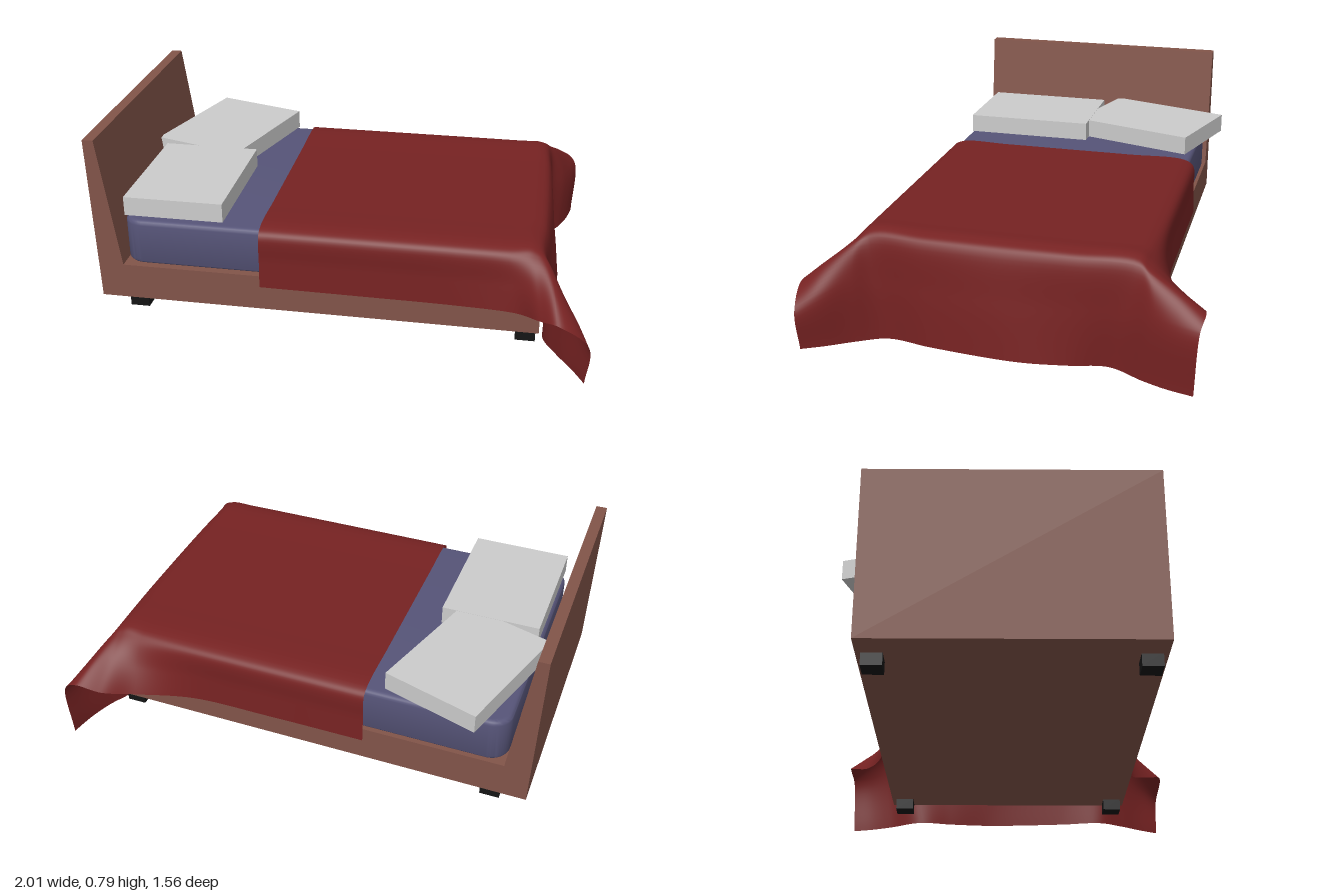
import * as THREE from 'three';
import { toCreasedNormals } from 'three/addons/utils/BufferGeometryUtils.js';

const V = (p) => new THREE.Vector3(...p);
const mat = (color, opts = {}) => new THREE.MeshStandardMaterial({ color, ...opts });

function add(group, name, geometry, material, pos = [0, 0, 0]) {
  const mesh = new THREE.Mesh(geometry, material);
  mesh.name = name;
  mesh.position.set(...pos);
  group.add(mesh);
  return mesh;
}

// Side profile of base and sloping headboard, extruded across the width
function frameGeometry() {
  const profile = [[-0.98, 0.1], [0.815, 0.1], [0.815, 0.25], [-0.88, 0.25], [-0.955, 0.795], [-1, 0.795]];
  const shape = new THREE.Shape(profile.map((p) => new THREE.Vector2(...p)));
  return new THREE.ExtrudeGeometry(shape, { depth: 1.12, bevelEnabled: false }).translate(0, 0, -0.55);
}

// Rounded rectangle in plan with soft top and bottom edges
function mattressGeometry(w, h, d, r, b) {
  const x = w / 2 - b, y = d / 2 - b, s = new THREE.Shape();
  s.absarc(x - r, y - r, r, 0, Math.PI / 2);
  s.absarc(r - x, y - r, r, Math.PI / 2, Math.PI);
  s.absarc(r - x, r - y, r, Math.PI, Math.PI * 1.5);
  s.absarc(x - r, r - y, r, Math.PI * 1.5, Math.PI * 2);
  const g = new THREE.ExtrudeGeometry(s, {
    depth: h - 2 * b, bevelSize: b, bevelThickness: b, bevelSegments: 4, curveSegments: 6,
  });
  return toCreasedNormals(g.rotateX(-Math.PI / 2).translate(0, b, 0), 0.6);
}

// Cross-section of the blanket over the bed, between its back and front hems
function bedRow(x, backHem, frontHem) {
  const half = (hem, shoulder, top) => {
    const mid = hem.map((v, i) => v * 0.5 + shoulder[i] * 0.5);
    return [hem, mid, shoulder, top];
  };
  return [
    ...half(backHem, [x, 0.43, -0.562], [x, 0.457, -0.52]),
    [x, 0.46, -0.27], [x, 0.46, 0], [x, 0.46, 0.3],
    ...half(frontHem, [x, 0.43, 0.572], [x, 0.457, 0.53]).reverse(),
  ];
}

// Cloth lofted through cross-sections with smooth curves both ways
function blanketGeometry(rows, nu, nv) {
  const across = rows.map((r) => new THREE.CatmullRomCurve3(r.map(V)));
  const pos = [], index = [];
  for (let j = 0; j <= nv; j++) {
    const along = new THREE.CatmullRomCurve3(across.map((c) => c.getPoint(j / nv)));
    for (let i = 0; i <= nu; i++) {
      pos.push(...along.getPoint(i / nu).toArray());
      if (i < nu && j < nv) {
        const a = j * (nu + 1) + i, b = a + nu + 1;
        index.push(a, b, a + 1, b, b + 1, a + 1);
      }
    }
  }
  const g = new THREE.BufferGeometry();
  g.setAttribute('position', new THREE.Float32BufferAttribute(pos, 3));
  g.setIndex(index);
  g.computeVertexNormals();
  return g;
}

export function createModel() {
  const bed = new THREE.Group();
  bed.name = 'bed';

  add(bed, 'bedFrame', frameGeometry(), mat(0x825449));
  add(bed, 'mattress', mattressGeometry(1.68, 0.195, 1.09, 0.06, 0.02), mat(0x565478), [-0.04, 0.25, 0.005]);

  // Feet near the four corners
  const footGeo = new THREE.BoxGeometry(0.08, 0.055, 0.08);
  const black = mat(0x151515);
  for (const x of [-0.83, 0.762]) {
    for (const z of [-0.49, 0.51]) add(bed, 'foot', footGeo, black, [x, 0.0775, z]);
  }

  // Pillows, one of them askew
  const pillowGeo = new THREE.BoxGeometry(0.41, 0.08, 0.56);
  const grey = mat(0xcccccc);
  add(bed, 'frontPillow', pillowGeo, grey, [-0.665, 0.499, 0.25]);
  add(bed, 'backPillow', pillowGeo, grey, [-0.652, 0.498, -0.303]).rotation.y = -0.295;

  // Blanket: over the bed, then down the foot end with flared corners
  const footEdge = [
    [0.88, 0.305, -0.78], [0.855, 0.36, -0.68], [0.83, 0.41, -0.57], [0.815, 0.432, -0.52],
    [0.82, 0.435, -0.27], [0.822, 0.435, 0], [0.82, 0.435, 0.3],
    [0.815, 0.432, 0.52], [0.835, 0.41, 0.575], [0.865, 0.34, 0.68], [0.885, 0.265, 0.775],
  ];
  const footMiddle = [
    [0.943, 0.26, -0.768], [0.925, 0.265, -0.68], [0.895, 0.27, -0.59], [0.838, 0.25, -0.47],
    [0.845, 0.24, -0.27], [0.86, 0.24, 0], [0.845, 0.24, 0.3],
    [0.835, 0.25, 0.49], [0.885, 0.27, 0.58], [0.955, 0.23, 0.68], [1, 0.18, 0.765],
  ];
  const footHem = [
    [0.945, 0.006, -0.755], [0.922, 0.008, -0.65], [0.89, 0.01, -0.56], [0.826, 0.012, -0.42],
    [0.86, 0.015, -0.27], [0.886, 0.017, -0.08], [0.86, 0.016, 0.27],
    [0.832, 0.015, 0.46], [0.885, 0.015, 0.57], [0.948, 0.015, 0.67], [0.995, 0.015, 0.757],
  ];
  const rows = [
    bedRow(-0.305, [-0.305, 0.21, -0.572], [-0.305, 0.207, 0.582]),
    bedRow(0.1, [0.1, 0.208, -0.572], [0.1, 0.205, 0.582]),
    bedRow(0.45, [0.45, 0.21, -0.585], [0.5, 0.205, 0.588]),
    bedRow(0.68, [0.67, 0.235, -0.675], [0.72, 0.215, 0.622]),
    bedRow(0.775, [0.78, 0.275, -0.755], [0.815, 0.248, 0.72]),
    footEdge, footMiddle, footHem,
  ];
  add(bed, 'blanket', blanketGeometry(rows, 70, 90), mat(0x762222, { side: THREE.DoubleSide }));

  return bed;
}
